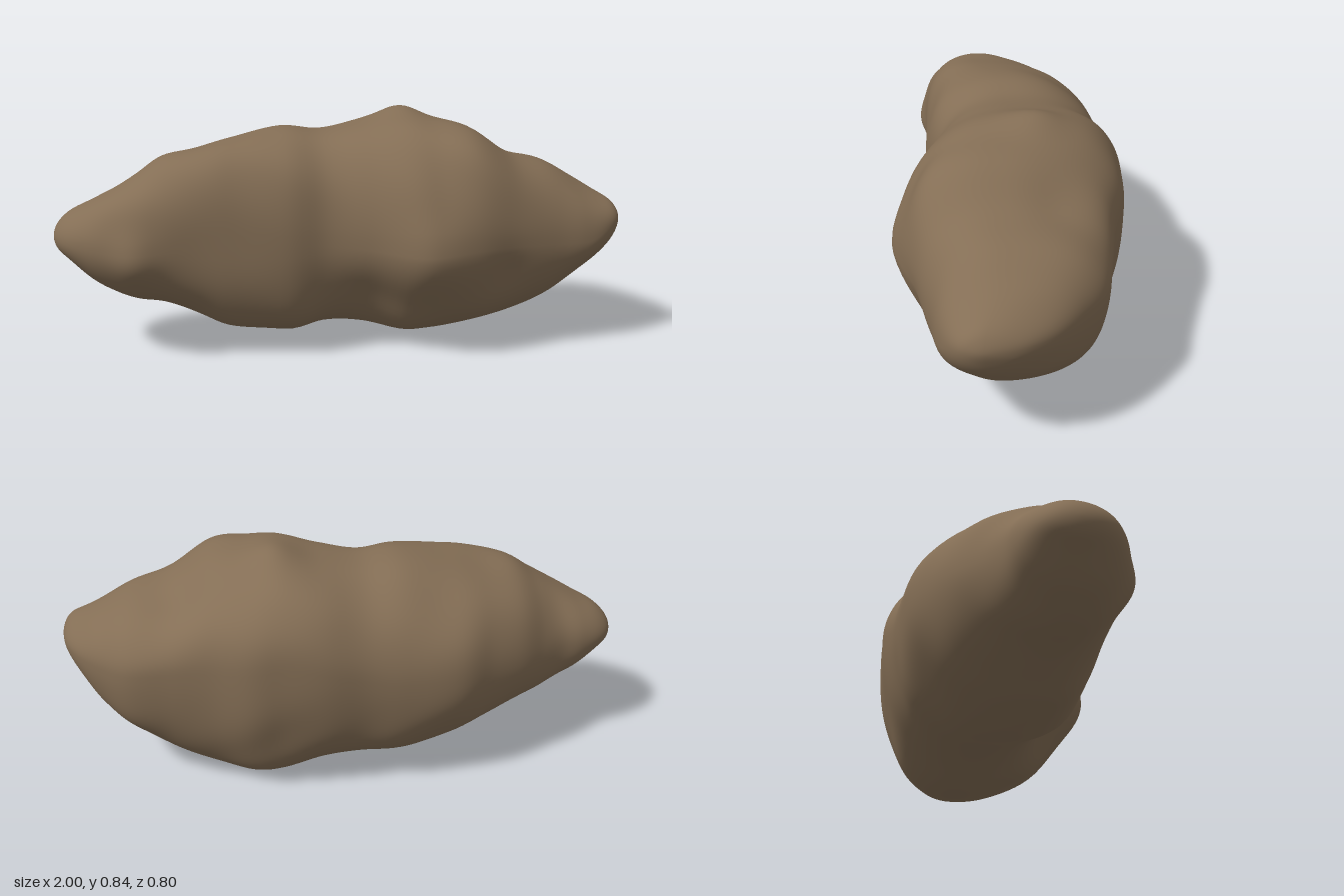
import * as THREE from 'three';
import { mergeVertices } from 'three/addons/utils/BufferGeometryUtils.js';

// Cross-section extents along the body: x, top y, bottom y, front z, back z
const SECTIONS = [
  [-1, 0.43, 0.43, 0.05, 0.05],
  [-0.985, 0.475, 0.385, 0.12, -0.015],
  [-0.94, 0.517, 0.345, 0.185, -0.065],
  [-0.865, 0.553, 0.28, 0.235, -0.105],
  [-0.785, 0.595, 0.235, 0.262, -0.13],
  [-0.71, 0.64, 0.205, 0.28, -0.175],
  [-0.62, 0.69, 0.187, 0.28, -0.24],
  [-0.5, 0.72, 0.14, 0.273, -0.3],
  [-0.38, 0.75, 0.09, 0.275, -0.36],
  [-0.2, 0.783, 0.052, 0.28, -0.375],
  [-0.06, 0.768, 0.068, 0.26, -0.38],
  [0.08, 0.79, 0.05, 0.3, -0.398],
  [0.22, 0.823, 0.008, 0.358, -0.39],
  [0.33, 0.81, 0.005, 0.362, -0.38],
  [0.46, 0.785, 0.035, 0.358, -0.335],
  [0.6, 0.695, 0.08, 0.32, -0.305],
  [0.74, 0.655, 0.155, 0.28, -0.27],
  [0.84, 0.6, 0.235, 0.26, -0.19],
  [0.915, 0.555, 0.31, 0.235, -0.11],
  [0.965, 0.525, 0.37, 0.205, -0.03],
  [0.99, 0.495, 0.42, 0.17, 0.04],
  [1, 0.46, 0.46, 0.12, 0.12],
];

// Where the extremes sit: x, z of crest, z of keel, y of front bulge, y of back bulge,
// then the fullness of the quarters: top front, bottom front, bottom back, top back
const AXES = [
  [-1, 0.05, 0.05, 0.43, 0.43, 2, 2, 2, 2],
  [-0.75, 0.08, 0.07, 0.41, 0.42, 2.35, 2.1, 2, 2.1],
  [-0.45, 0.05, 0.02, 0.42, 0.45, 2.75, 2.5, 2, 2.1],
  [-0.2, -0.02, -0.03, 0.42, 0.45, 2.45, 2.4, 2.2, 2.15],
  [0.2, -0.05, -0.1, 0.4, 0.53, 2.4, 1.85, 2.2, 2.3],
  [0.45, 0.07, -0.08, 0.41, 0.5, 2.4, 1.85, 2.35, 2.4],
  [0.85, 0.04, 0.05, 0.4, 0.46, 2.3, 2, 2.2, 2.2],
  [1, 0.12, 0.12, 0.46, 0.46, 2, 2, 2, 2],
];

// Local hollows (negative) and knobs (positive): x, y, z, radius, height
const DENTS = [
  [0.3, 0.4, 0.37, 0.12, 0.037],
  [0.24, 0.83, -0.08, 0.09, 0.022],
  [-0.72, 0.38, 0.28, 0.09, 0.024],
  [-0.62, 0.69, 0.05, 0.08, 0.01],
  [0.08, 0.22, 0.25, 0.14, -0.03],
  [0.22, 0.09, 0.17, 0.1, 0.015],
  [0.53, 0.7, -0.14, 0.12, -0.025],
  [0.55, 0.32, 0.28, 0.1, -0.02],
  [-0.4, 0.15, 0.15, 0.13, 0.015],
  [0.12, 0.74, 0.18, 0.16, 0.012],
  [-0.1, 0.15, -0.25, 0.14, 0.015],
  [-0.5, 0.66, 0.2, 0.13, 0.02],
];

const mix = THREE.MathUtils.lerp;

function spline(a, b, c, d, t) {
  return 0.5 * (2 * b + (c - a) * t + (2 * a - 5 * b + 4 * c - d) * t * t
    + (3 * b - a - 3 * c + d) * t * t * t);
}

// Mirrored sections beyond each tip make the ends close roundly
const flip = ([x, top, bottom, front, back]) => [x, bottom, top, back, front];
const rows = [flip(SECTIONS[1]), ...SECTIONS, flip(SECTIONS[SECTIONS.length - 2])];

function sectionAt(u) {
  const i = Math.min(Math.floor(u), SECTIONS.length - 2);
  return rows[0].map((_, k) =>
    spline(rows[i][k], rows[i + 1][k], rows[i + 2][k], rows[i + 3][k], u - i));
}

function axesAt(x) {
  let i = 0;
  while (i < AXES.length - 2 && x > AXES[i + 1][0]) i++;
  const t = THREE.MathUtils.smoothstep(x, AXES[i][0], AXES[i + 1][0]);
  return AXES[i].map((v, k) => mix(v, AXES[i + 1][k], t));
}

function ringPoint(section, axes, angle) {
  const [x, top, bottom, front, back] = section;
  const s = Math.sin(angle), c = Math.cos(angle);
  const quarter = Math.floor(angle / (Math.PI / 2));
  const power = 2 / axes[5 + quarter];
  const yMid = s >= 0 ? axes[3] : axes[4];
  const zMid = c >= 0 ? axes[1] : axes[2];
  return new THREE.Vector3(x,
    mix(yMid, c >= 0 ? top : bottom, Math.abs(c) ** power),
    mix(zMid, s >= 0 ? front : back, Math.abs(s) ** power));
}

// Ripples lie between the four outlines; dents and knobs push out from the long axis
function weather(p, angle) {
  const { x, y, z } = p;
  let h = 0.008 * Math.sin(9 * x + 7 * y + 2) * Math.sin(8 * z - 6 * y + 1)
    + 0.005 * Math.sin(15 * x - 11 * z) * Math.sin(14 * y + 5 * x);
  h *= Math.sin(2 * angle) ** 2;
  for (const [dx, dy, dz, r, amount] of DENTS) {
    const d2 = (x - dx) ** 2 + (y - dy) ** 2 + (z - dz) ** 2;
    h += amount * Math.exp(-d2 / (r * r));
  }
  h *= 1 - Math.abs(x) ** 8;
  const out = new THREE.Vector3(0, y - 0.43, z - 0.03).normalize();
  return p.addScaledVector(out, h);
}

function rockGeometry() {
  const around = 96, steps = 6, along = (SECTIONS.length - 1) * steps;
  const positions = [], index = [];
  for (let i = 0; i <= along; i++) {
    const section = sectionAt(i / steps);
    const axes = axesAt(section[0]);
    for (let j = 0; j < around; j++) {
      const angle = j / around * Math.PI * 2;
      const p = weather(ringPoint(section, axes, angle), angle);
      positions.push(p.x, p.y, p.z);
      if (i === along) continue;
      const a = i * around + j, b = i * around + (j + 1) % around;
      index.push(a, b, a + around, b, b + around, a + around);
    }
  }
  const geometry = new THREE.BufferGeometry();
  geometry.setAttribute('position', new THREE.Float32BufferAttribute(positions, 3));
  geometry.setIndex(index);
  const merged = mergeVertices(geometry, 1e-5);
  merged.computeVertexNormals();
  return merged;
}

export function createModel() {
  const model = new THREE.Group();
  model.name = 'asteroid';
  const stone = new THREE.MeshStandardMaterial({ color: 0x846e55 });
  stone.name = 'brown stone';
  const rock = new THREE.Mesh(rockGeometry(), stone);
  rock.name = 'rock';
  model.add(rock);
  return model;
}
